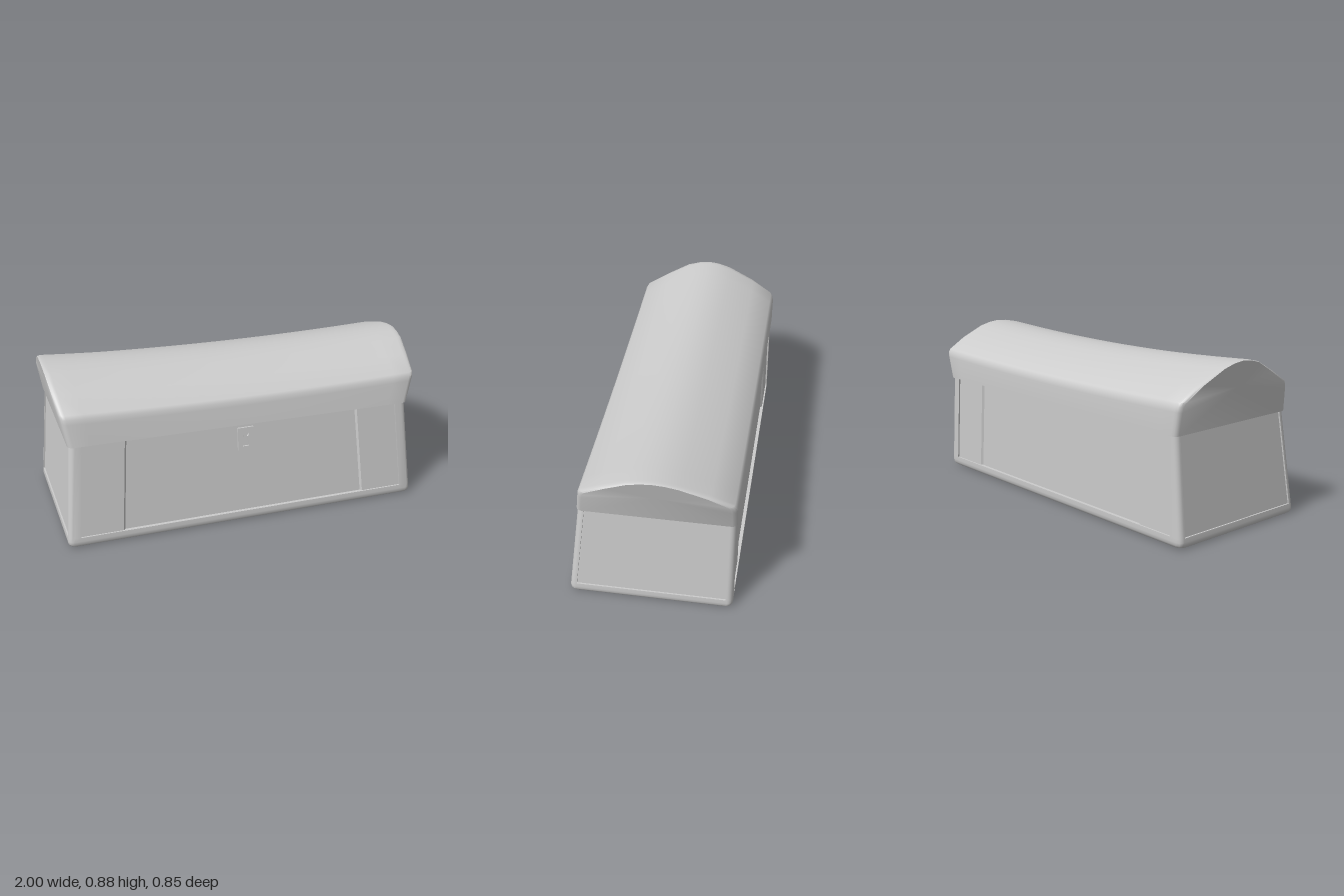
import * as THREE from 'three';
import { toCreasedNormals } from 'three/addons/utils/BufferGeometryUtils.js';

// Skin a list of closed rings and cap both ends
function loft(rings, crease = 0.7) {
  const pos = [], n = rings[0].length;
  const tri = (a, b, c) => {
    const area = b.clone().sub(a).cross(c.clone().sub(a)).length();
    if (area > 1e-9) for (const v of [a, b, c]) pos.push(v.x, v.y, v.z);
  };
  const middle = (ring) => ring.reduce((s, v) => s.add(v), new THREE.Vector3()).divideScalar(n);
  const first = rings[0], last = rings[rings.length - 1];
  const c0 = middle(first), c1 = middle(last);
  for (let j = 0; j < n; j++) {
    const k = (j + 1) % n;
    for (let i = 0; i < rings.length - 1; i++) {
      tri(rings[i][j], rings[i][k], rings[i + 1][k]);
      tri(rings[i][j], rings[i + 1][k], rings[i + 1][j]);
    }
    tri(c0, first[k], first[j]);
    tri(c1, last[j], last[k]);
  }
  const geo = new THREE.BufferGeometry();
  geo.setAttribute('position', new THREE.Float32BufferAttribute(pos, 3));
  return toCreasedNormals(geo, crease);
}

const frontZ = (y) => 0.426 - 0.112 * y;
const RECESS = 0.008, STEP = 0.01, RADIUS = 0.03;

// One horizontal ring of the box: rounded corners, with sunken panels between them
function boxRing(y, inset, sunken) {
  const right = 0.955 - 0.08 * y - inset, left = -0.985 + 0.085 * y + inset;
  const front = frontZ(y) - inset, back = -0.42 + inset;
  const corners = [[right, front], [right, back], [left, back], [left, front]]
    .map(([x, z]) => new THREE.Vector2(x, z));
  const normals = [[1, 0], [0, -1], [-1, 0], [0, 1]].map(([x, z]) => new THREE.Vector2(x, z));
  const ring = [];
  const add = (p) => ring.push(new THREE.Vector3(p.x, y, p.y));

  corners.forEach((p, s) => {
    const q = corners[(s + 1) % 4], n = normals[s], before = normals[(s + 3) % 4];
    // Rounded corner
    const centre = p.clone().addScaledVector(n, -RADIUS).addScaledVector(before, -RADIUS);
    for (let i = 0; i <= 5; i++) {
      const a = (i / 5) * Math.PI / 2;
      add(centre.clone().addScaledVector(before, RADIUS * Math.cos(a)).addScaledVector(n, RADIUS * Math.sin(a)));
    }
    // Panel, with a deeper middle on the long sides
    const len = p.distanceTo(q), u = q.clone().sub(p).divideScalar(len);
    const long = s % 2 === 1, m = long ? 0.065 : 0.035;
    const h = 0.68 - 0.075 * y, mid = len / 2;
    const steps = long ? [
      [mid - h, RECESS], [mid - h + 0.01, RECESS + STEP],
      [mid + h - 0.01, RECESS + STEP], [mid + h, RECESS]] : [];
    for (const [d, depth] of [[m, 0], [m, RECESS], ...steps, [len - m, RECESS], [len - m, 0]])
      add(p.clone().addScaledVector(u, d).addScaledVector(n, sunken ? -depth : 0));
  });
  return ring;
}

// One cross-section of the sagging lid, t runs from -1 (left in x) to 1
function lidRing(t, inset) {
  const base = 0.547 - 0.007 * t;
  const eave = 0.68 - 0.0075 * t + 0.0175 * t * t;
  const peak = 0.82 - 0.024 * t + 0.034 * t * t;
  const arch = [[-0.412, 0.09], [-0.3, 0.49], [-0.16, 0.86], [-0.09, 0.965], [-0.03, 1],
    [0.03, 0.965], [0.1, 0.86], [0.22, 0.49], [0.335, 0.09]];
  const profile = [
    [-0.427, base], [-0.427, eave - 0.03], [-0.424, eave - 0.005],
    ...arch.map(([z, k]) => [z, eave + k * (peak - eave)]),
    [0.347, eave - 0.005], [0.352, eave - 0.03], [0.37, base],
  ];
  return profile.map(([z, y]) => {
    // Ends flare outward with height
    const end = t < 0 ? 0.945 + 0.167 * (y - 0.55) : 0.92 + 0.276 * (y - 0.54);
    const dy = y > base ? inset * 0.15 : 0;
    return new THREE.Vector3(t * end, y - dy, -0.03 + (z + 0.03) * (1 - inset / 0.4));
  });
}

export function createModel() {
  const model = new THREE.Group();
  const material = new THREE.MeshStandardMaterial({ color: 0xcccccc });
  const add = (name, geo) => {
    const mesh = new THREE.Mesh(geo, material);
    mesh.name = name;
    model.add(mesh);
    return mesh;
  };

  // Box with rounded lower edge and framed panels
  add('chestBox', loft([
    boxRing(0, 0.022, false), boxRing(0.008, 0.009, false), boxRing(0.02, 0.002, false),
    boxRing(0.035, 0, false), boxRing(0.056, 0, false), boxRing(0.056, 0, true),
    boxRing(0.57, 0, true),
  ]));

  // Arched lid
  const stations = [[-1, 0.026], [-0.994, 0.012], [-0.985, 0.004], [-0.97, 0]];
  for (let i = -7; i <= 7; i++) stations.push([i / 8, 0]);
  stations.push([0.97, 0], [0.985, 0.004], [0.994, 0.012], [1, 0.026]);
  add('lid', loft(stations.map(([t, inset]) => lidRing(t, inset))));

  // Lock plate with keyhole
  const plate = new THREE.Shape();
  plate.moveTo(-0.043, -0.062).lineTo(0.043, -0.062).lineTo(0.043, 0.062).lineTo(-0.043, 0.062).closePath();
  const keyhole = new THREE.Path();
  keyhole.moveTo(-0.018, -0.042);
  keyhole.lineTo(-0.009, 0.012);
  keyhole.absarc(0, 0.026, 0.017, Math.PI * 1.32, -Math.PI * 0.32, true);
  keyhole.lineTo(0.018, -0.042);
  keyhole.closePath();
  plate.holes.push(keyhole);
  const lock = add('lockPlate', new THREE.ExtrudeGeometry(plate,
    { depth: 0.014, bevelEnabled: false, curveSegments: 8 }));
  lock.position.set(-0.008, 0.462, frontZ(0.462) - RECESS - STEP - 0.002);
  lock.rotation.x = -Math.atan(0.112);

  return model;
}
